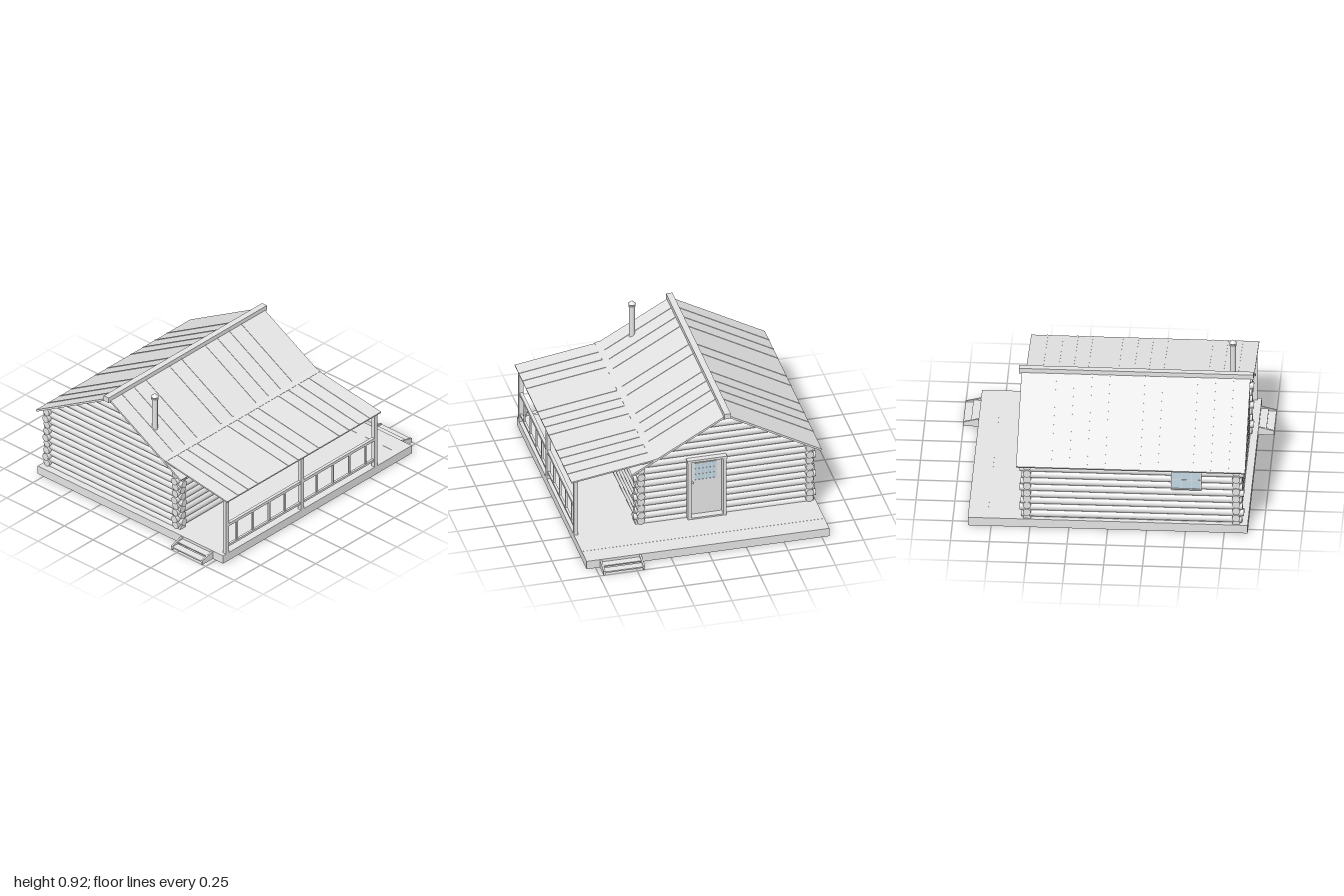
import * as THREE from 'three';

export function createModel() {
  const house = new THREE.Group();
  house.name = 'logCabin';
  const grey = new THREE.MeshStandardMaterial({ color: 0xe4e4e4 });
  grey.name = 'pale grey';
  const glass = new THREE.MeshStandardMaterial({ color: 0xc2d9e4 });
  glass.name = 'glass blue';

  const add = (name, geometry, parent = house, material = grey) => {
    const mesh = new THREE.Mesh(geometry, material);
    mesh.name = name;
    parent.add(mesh);
    return mesh;
  };
  // Box given by its limits on each axis
  const box = (name, [x0, x1], [y0, y1], [z0, z1], parent, material) => {
    const mesh = add(name, new THREE.BoxGeometry(x1 - x0, y1 - y0, z1 - z0), parent, material);
    mesh.position.set((x0 + x1) / 2, (y0 + y1) / 2, (z0 + z1) / 2);
  };
  // Sloping board between two [z, y] points (rising z), its top on that line plus lift
  const slab = (name, x0, x1, [z0, y0], [z1, y1], thick, lift = 0) => {
    const dz = z1 - z0, dy = y1 - y0;
    const g = new THREE.BoxGeometry(x1 - x0, thick, Math.hypot(dz, dy));
    g.translate(0, lift - thick / 2, 0);
    const mesh = add(name, g);
    mesh.position.set((x0 + x1) / 2, (y0 + y1) / 2, (z0 + z1) / 2);
    mesh.rotation.x = -Math.atan2(dy, dz);
  };
  const shapeOf = (points) => new THREE.Shape(points.map(([x, y]) => new THREE.Vector2(x, y)));

  // Deck
  box('deck', [-0.9, 0.9], [0, 0.059], [-0.8, 0.81]);
  box('deckSeam', [0.773, 0.777], [0.056, 0.06], [-0.8, 0.81]);

  // Steps at both ends of the porch
  const stepSide = shapeOf([[0.9, 0], [1, 0], [1, 0.03], [0.98, 0.035], [0.9, 0.055]]);
  for (const turn of [0, Math.PI]) {
    const steps = new THREE.Group();
    steps.name = 'steps';
    steps.position.z = 0.585;
    steps.rotation.y = turn;
    house.add(steps);
    for (const z of [-0.137, 0.125]) {
      const g = new THREE.ExtrudeGeometry(stepSide, { depth: 0.012, bevelEnabled: false });
      add('stepSide', g, steps).position.z = z;
    }
    box('upperTread', [0.9, 0.95], [0.033, 0.04], [-0.125, 0.125], steps);
    box('lowerTread', [0.948, 1], [0.016, 0.025], [-0.125, 0.125], steps);
  }

  // Log walls: the two directions interlock by half a log
  const R = 0.0255, PITCH = 0.0478;
  const RIDGE = [-0.2, 0.821], SLOPE = 0.565;
  const WALL_X = [-0.826, 0.52], WALL_Z = [0.361, -0.757];
  const DOOR_Z = [-0.19, 0.045];
  const log = (name, from, to, axis, x, y, z) => {
    const g = new THREE.CylinderGeometry(R, R, to - from, 16);
    if (axis === 'x') g.rotateZ(Math.PI / 2); else g.rotateX(Math.PI / 2);
    const mid = (from + to) / 2;
    add(name, g).position.set(axis === 'x' ? mid : x, y, axis === 'z' ? mid : z);
  };
  for (let i = 0; i < 9; i++) {
    const y = 0.085 + PITCH * i, extra = [0, 0.012, 0.004][i % 3];
    for (const z of WALL_Z) log('longWallLog', -0.863 - extra, 0.557 + extra, 'x', 0, y, z);
    const z0 = -0.79 - extra, z1 = 0.395 + extra, zy = y - PITCH / 2;
    log('endWallLog', z0, z1, 'z', WALL_X[0], zy, 0);
    // The door interrupts the logs of this end
    log('endWallLog', z0, DOOR_Z[0], 'z', WALL_X[1], zy, 0);
    log('endWallLog', DOOR_Z[1], z1, 'z', WALL_X[1], zy, 0);
  }
  // Gable logs, their ends cut along the roof slope
  for (let i = 9; i < 16; i++) {
    const y = 0.085 + PITCH * (i - 0.5);
    const g = new THREE.CylinderGeometry(R, R, 2, 16);
    g.rotateX(Math.PI / 2);
    const p = g.attributes.position;
    for (let k = 0; k < p.count; k++) {
      const half = Math.max(0.002, (RIDGE[1] - 0.014 - y - p.getY(k)) / SLOPE);
      p.setZ(k, Math.sign(p.getZ(k)) * Math.min(0.595, half));
    }
    for (const x of WALL_X) add('gableLog', g).position.set(x, y, RIDGE[0]);
  }
  // Solid wall core behind the log joints, open at the door
  for (const x of WALL_X) {
    const core = shapeOf([[-0.36, 0.05], [0.757, 0.05], [0.757, 0.475], [0.2, 0.8], [-0.36, 0.475]]);
    if (x > 0) core.holes.push(shapeOf([[-0.045, 0.06], [-0.045, 0.487], [0.19, 0.487], [0.19, 0.06]]));
    const g = new THREE.ExtrudeGeometry(core, { depth: 0.016, bevelEnabled: false });
    g.rotateY(Math.PI / 2);
    add('endWallCore', g).position.x = x - 0.008;
  }
  for (const z of WALL_Z) box('longWallCore', WALL_X, [0.05, 0.48], [z - 0.008, z + 0.008]);

  // Main roof with standing seams and ridge cap
  const backEave = [-0.83, 0.465], frontEave = [0.43, 0.465];
  const joint = [0.262, RIDGE[1] - 0.462 * SLOPE];
  slab('backRoof', -0.885, 0.588, backEave, RIDGE, 0.013);
  slab('frontRoof', -0.885, 0.588, RIDGE, frontEave, 0.013);
  for (const x of [-0.775, -0.66, -0.545, -0.32, -0.205, 0.02, 0.135, 0.25, 0.365]) {
    slab('roofSeam', x - 0.004, x + 0.004, backEave, RIDGE, 0.008, 0.003);
    slab('roofSeam', x - 0.004, x + 0.004, RIDGE, joint, 0.008, 0.003);
  }
  box('ridgeCap', [-0.905, 0.605], [0.802, 0.839], [-0.222, -0.18]);

  // Porch roof, with a flashing where it meets the main roof
  const porchTop = [0.3, 0.55], porchEave = [0.83, 0.47];
  slab('porchFlashing', -0.885, 0.588, joint, porchTop, 0.008, 0.002);
  slab('porchRoof', -0.882, 0.585, porchTop, porchEave, 0.01);
  for (const x of [-0.775, -0.68, -0.585, -0.295, -0.2, -0.105, -0.005, 0.19, 0.285, 0.38, 0.48])
    slab('porchSeam', x - 0.004, x + 0.004, porchTop, porchEave, 0.007, 0.003);

  // Porch posts, beam and railing
  box('porchBeam', [-0.872, 0.574], [0.45, 0.466], [0.785, 0.812]);
  for (const x of [-0.858, -0.142, 0.56])
    box('porchPost', [x - 0.014, x + 0.014], [0.055, 0.46], [0.782, 0.81]);
  box('topRail', [-0.858, 0.56], [0.256, 0.276], [0.785, 0.807]);
  box('bottomRail', [-0.858, 0.56], [0.1, 0.115], [0.788, 0.804]);
  for (const x of [-0.757, -0.603, -0.447, -0.297, 0.008, 0.163, 0.318, 0.473])
    box('baluster', [x - 0.006, x + 0.006], [0.11, 0.26], [0.79, 0.802]);

  // Glazed panel facing +z, centred on its own origin
  const glazing = (name, w, h, cols, rows, border) => {
    const g = new THREE.Group();
    g.name = name;
    house.add(g);
    box('pane', [-w / 2, w / 2], [-h / 2, h / 2], [0, 0.006], g, glass);
    for (let i = 0; i <= cols; i++) {
      const t = i % cols ? 0.0015 : border, x = -w / 2 + (w * i) / cols;
      box('uprightBar', [x - t, x + t], [-h / 2 - border, h / 2 + border], [0, t > 0.002 ? 0.014 : 0.008], g);
    }
    for (let i = 0; i <= rows; i++) {
      const t = i % rows ? 0.0015 : border, y = -h / 2 + (h * i) / rows;
      box('crossBar', [-w / 2, w / 2], [y - t, y + t], [0, t > 0.002 ? 0.014 : 0.008], g);
    }
    return g;
  };
  glazing('frontWindow', 0.19, 0.135, 3, 2, 0.004).position.set(0.143, 0.377, 0.384);
  const back = glazing('backWindow', 0.19, 0.135, 3, 2, 0.004);
  back.position.set(-0.505, 0.377, -0.78);
  back.rotation.y = Math.PI;

  // Recessed door with deep frame, window and knob
  box('door', [0.512, 0.53], [0.068, 0.487], [-0.18, 0.033]);
  for (const z of [-0.202, 0.033]) box('doorJamb', [0.5, 0.577], [0.059, 0.49], [z, z + 0.022]);
  box('doorHead', [0.5, 0.579], [0.487, 0.504], [-0.205, 0.058]);
  box('doorSill', [0.5, 0.577], [0.058, 0.069], [-0.2, 0.055]);
  const doorWindow = glazing('doorWindow', 0.145, 0.125, 4, 3, 0.0015);
  doorWindow.position.set(0.528, 0.39, -0.073);
  doorWindow.rotation.y = Math.PI / 2;
  add('doorKnob', new THREE.SphereGeometry(0.008, 12, 8)).position.set(0.537, 0.31, 0.015);

  // Stove pipe with collar and conical cap
  const pipe = [[0, 0.62], [0.019, 0.62], [0.019, 0.875], [0.023, 0.875], [0.023, 0.882],
    [0.017, 0.882], [0.017, 0.895], [0.026, 0.895], [0, 0.918]];
  for (let i = 0; i < pipe.length - 1; i++) {
    const g = new THREE.LatheGeometry([pipe[i], pipe[i + 1]].map(([r, y]) => new THREE.Vector2(r, y)), 16);
    add('stovePipe', g).position.set(-0.755, 0, 0.085);
  }
  return house;
}
